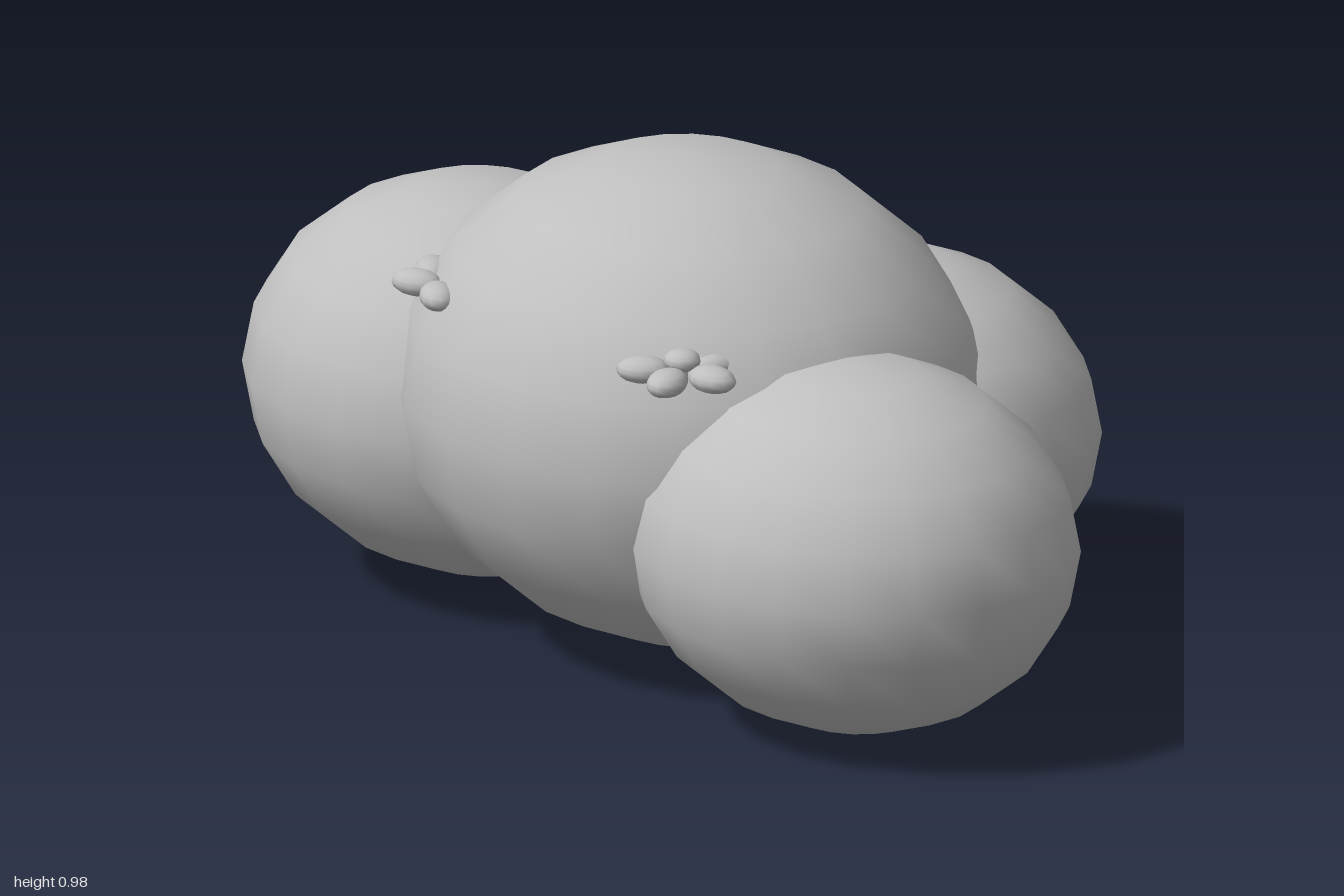
import * as THREE from 'three';

export function createModel() {
  const model = new THREE.Group();
  model.name = 'bush';
  const grey = new THREE.MeshStandardMaterial({ color: 0xbfbfbf });
  grey.name = 'light grey';

  const leafBall = new THREE.SphereGeometry(1, 20, 10);
  const petalBall = new THREE.SphereGeometry(1, 12, 8);

  // Ellipsoid from a centre and three radii, turned about y
  function ellipsoid(name, geometry, centre, radii, turn = 0) {
    const mesh = new THREE.Mesh(geometry, grey);
    mesh.name = name;
    mesh.position.set(...centre);
    mesh.scale.set(...radii);
    mesh.rotation.y = turn;
    return mesh;
  }

  // Overlapping clumps of foliage
  model.add(
    ellipsoid('middleClump', leafBall, [0.01, 0.502, 0.112], [0.59, 0.484, 0.537]),
    ellipsoid('rightClump', leafBall, [-0.52, 0.413, 0.102], [0.48, 0.387, 0.434]),
    ellipsoid('leftClump', leafBall, [0.545, 0.365, 0.259], [0.455, 0.363, 0.406]),
    ellipsoid('backClump', leafBall, [0.168, 0.367, -0.268], [0.435, 0.35, 0.398])
  );

  // Flower with five petals around a raised centre, on a short stem
  const leftFlower = new THREE.Group();
  leftFlower.name = 'leftFlower';
  leftFlower.position.set(0.318, 0.725, 0.497);
  for (let i = 0; i < 5; i++) {
    const a = (i * 2 * Math.PI) / 5;
    leftFlower.add(ellipsoid('petal', petalBall,
      [0.075 * Math.cos(a), 0, 0.075 * Math.sin(a)], [0.052, 0.026, 0.038], -a));
  }
  leftFlower.add(ellipsoid('flowerCentre', petalBall, [0, 0.021, 0], [0.036, 0.022, 0.036]));
  const stem = new THREE.Mesh(new THREE.CylinderGeometry(0.007, 0.007, 0.1, 6), grey);
  stem.name = 'stem';
  stem.position.set(0.006, -0.045, 0);
  leftFlower.add(stem);

  // Flower partly sunk into the foliage
  const rightFlower = new THREE.Group();
  rightFlower.name = 'rightFlower';
  rightFlower.position.set(-0.36, 0.725, 0.43);
  const petals = [[0.056, 0.058, 0.75], [-0.025, 0.025, 2.9], [-0.045, -0.045, 0.85]];
  for (const [x, z, a] of petals) {
    rightFlower.add(ellipsoid('petal', petalBall, [x, 0, z], [0.052, 0.026, 0.036], -a));
  }

  model.add(leftFlower, rightFlower);
  return model;
}
